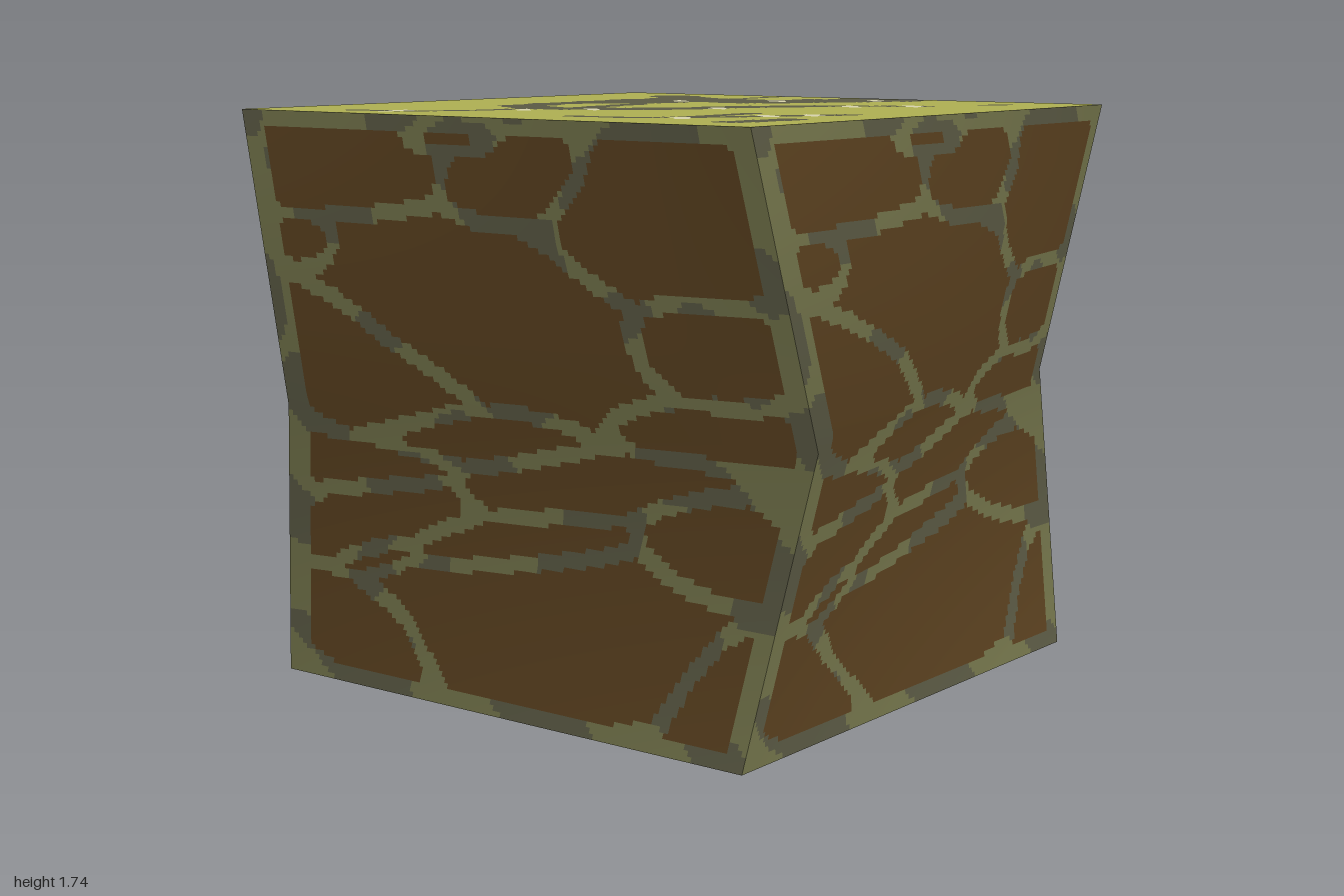
import * as THREE from 'three';

const mat = (name, color) => Object.assign(new THREE.MeshStandardMaterial({ color }), { name });
const STONE = 0, MORTAR = 1, GREY = 2, MOSS = 3, PALE = 4;
const materials = [
  mat('brownStone', 0x5c4220), mat('oliveMortar', 0x75764c), mat('greyRock', 0x5c5b45),
  mat('moss', 0xb1b253), mat('paleFleck', 0xdad6b0),
];

// Stones of one wall as slanted ellipses in hundredths: centre x, y, radii, slant
const stones = [
  [-50, 157, 37, 13, -0.05], [12, 157, 24, 11, 0.1], [66, 148, 30, 21, 0], [-9, 167, 14, 3, 0],
  [-66, 136, 12, 7, 0], [-3, 119, 53, 25, -0.27], [-45, 100, 36, 17, -0.25], [72, 112, 21, 13, 0],
  [-6, 82, 31, 8, 0.05], [68, 89, 28, 8, 0], [28, 71, 40, 9, 0.12], [-48, 71, 30, 7, 0],
  [-46, 53, 31, 10, 0.3], [70, 57, 23, 13, -0.1], [4, 51, 34, 7, 0.15], [-47, 41, 14, 4, 0.3],
  [15, 27, 65, 22, 0.1], [-58, 18, 32, 14, -0.3], [78, 18, 16, 18, 0.5],
];

// Relative distance from a stone's centre, and how fast it grows
function reach([cx, cy, rx, ry, slant], x, y) {
  const a = (x - cx) / rx, b = (y - cy - slant * (x - cx)) / ry, f = Math.hypot(a, b) + 1e-6;
  return { f, grow: Math.hypot(a / rx - b * slant / ry, b / ry) / f };
}
// Each spot belongs to its nearest stone; mortar fills the seams between neighbours
function wallPaint(u, v) {
  const { x, y } = wallPoint(u, v);
  const [p, q] = stones.map(s => reach(s, x * 100, y * 100)).sort((m, n) => m.f - n.f);
  const border = u < 0.045 || u > 0.96 || v < 0.025 || v > 0.975;
  if (!border && p.f < 1.18 && q.f - p.f > 2.4 * (p.grow + q.grow)) return STONE;
  const patches = Math.sin(11 * x + 2 * Math.sin(9 * y)) + Math.sin(13 * y + 2 * Math.sin(8 * x));
  return patches > 0.1 ? GREY : MORTAR;
}

// Distance test to a polyline given in hundredths
function nearPath(radius, path, x, z) {
  for (let i = 0; i + 3 < path.length; i += 2) {
    const dx = path[i + 2] - path[i], dz = path[i + 3] - path[i + 1];
    const px = x - path[i], pz = z - path[i + 1];
    const t = THREE.MathUtils.clamp((px * dx + pz * dz) / (dx * dx + dz * dz), 0, 1);
    if (Math.hypot(px - t * dx, pz - t * dz) < radius) return true;
  }
  return false;
}
// Bare rock on the mossy top: radius, then a path of x, z
const rock = [
  [3, -80, -62, -74, -42, -58, -31, -42, -28],
  [7, -36, -26, -25, -44, -5, -47, 12, -46],
  [9, -33, -20, -25, -5, -12, 8],
  [7, -12, 8, 8, 15, 28, 30],
  [4, 30, 33, 48, 57],
  [16, 20, -38, 49, -38],
  [15, 48, -38, 48, -4, 88, 20],
  [8, 71, -59, 60, -45],
  [2.5, 60, -26, 88, -26],
  [4, -22, -20, 8, -24],
  [3, -72, 16, -70, 34, -60, 46, -26, 46],
  [4, -60, 48, -30, 66, -18, 74],
  [5, -75, 74, -53, 77],
  [3, 67, 69, 72, 71],
];
// Centres of the pale flecks, all lying along the same slant
const flecks = [
  [-47, -23], [-33, -8], [-4, 17], [38, -30], [56, -4],
  [78, 20], [32, 41], [45, 55], [-63, 48], [-39, 60], [-27, 67],
].map(([x, z]) => [x - 3, z + 3, x + 3, z - 3]);
flecks.push([-81, -48, -70, -49]);
function topPaint(u, v) {
  const p = topPoint(u, v), x = p.x * 100, z = p.z * 100;
  if (flecks.some(path => nearPath(2.2, path, x, z))) return PALE;
  const wobble = 1 + 0.15 * Math.sin(x * 0.3) * Math.sin(z * 0.3 + 1);
  return rock.some(([r, ...path]) => nearPath(r * wobble, path, x, z)) ? GREY : MOSS;
}

// One wall: a square top, a turned middle and a square foot, each half made of two flat triangles
const V = (x, y, z) => new THREE.Vector3(x, y, z);
const HEIGHT = 1.735, TOP = 0.942, FOOT = 0.87;
const mid = [V(-0.71, 0.867, 1), V(1, 0.867, 0.71)];
const top = [V(-TOP, HEIGHT, TOP), V(TOP, HEIGHT, TOP)];
const foot = [V(-FOOT, 0, FOOT), V(FOOT, 0, FOOT)];
function wallPoint(u, v) {
  const [low, high, t] = v >= 0.5 ? [mid, top, 2 * v - 1] : [foot, mid, 2 * v];
  const p = low[0].clone();
  const add = (a, b, k) => p.addScaledVector(b, k).addScaledVector(a, -k);
  if (u >= t) { add(low[0], low[1], u); add(low[1], high[1], t); }
  else { add(low[0], high[0], t); add(high[0], high[1], u); }
  return p;
}
const topPoint = (u, v) => V(TOP * (2 * u - 1), HEIGHT, TOP * (1 - 2 * v));
const footPoint = (u, v) => V(FOOT * (2 * u - 1), 0, FOOT * (2 * v - 1));
const footPaint = (u, v) => wallPaint(1 - u, v);

// Bends a plane by a point rule
function bend(nx, ny, point) {
  const g = new THREE.PlaneGeometry(1, 1, nx, ny);
  const { position, uv } = g.attributes;
  for (let i = 0; i < position.count; i++) position.setXYZ(i, ...point(uv.getX(i), uv.getY(i)).toArray());
  g.computeVertexNormals();
  return g;
}
// Sorts the cells of a bent plane into one group per colour
function patch(n, point, paint) {
  const g = bend(n, n, point), old = g.index.array, sorted = materials.map(() => []);
  for (let cell = 0; cell < n * n; cell++) {
    const u = (cell % n + 0.5) / n, v = 1 - (Math.floor(cell / n) + 0.5) / n;
    sorted[paint(u, v)].push(...old.slice(cell * 6, cell * 6 + 6));
  }
  g.setIndex(sorted.flat());
  let start = 0;
  sorted.forEach((list, m) => {
    if (list.length) g.addGroup(start, list.length, m);
    start += list.length;
  });
  return g;
}
// Softens the shading over the wall's middle fold
function smoothWall(g) {
  const coarse = bend(1, 2, wallPoint).attributes.normal, { normal, uv } = g.attributes;
  const corner = i => V().fromBufferAttribute(coarse, i);
  const at = (row, u) => corner(row * 2).lerp(corner(row * 2 + 1), u);
  for (let i = 0; i < normal.count; i++) {
    const u = uv.getX(i), r = (1 - uv.getY(i)) * 2, row = r < 1 ? 0 : 1;
    normal.setXYZ(i, ...at(row, u).lerp(at(row + 1, u), r - row).normalize().toArray());
  }
  return g;
}

export function createModel() {
  const model = new THREE.Group();
  model.name = 'twistedStoneBlock';
  const add = (name, geometry, turn = 0) => {
    const mesh = new THREE.Mesh(geometry, materials);
    mesh.name = name;
    mesh.rotation.y = turn;
    model.add(mesh);
  };
  const wall = smoothWall(patch(110, wallPoint, wallPaint));
  ['frontWall', 'leftWall', 'backWall', 'rightWall'].forEach((name, i) => add(name, wall, i * Math.PI / 2));
  add('mossyTop', patch(110, topPoint, topPaint));
  add('underside', patch(80, footPoint, footPaint));
  return model;
}
